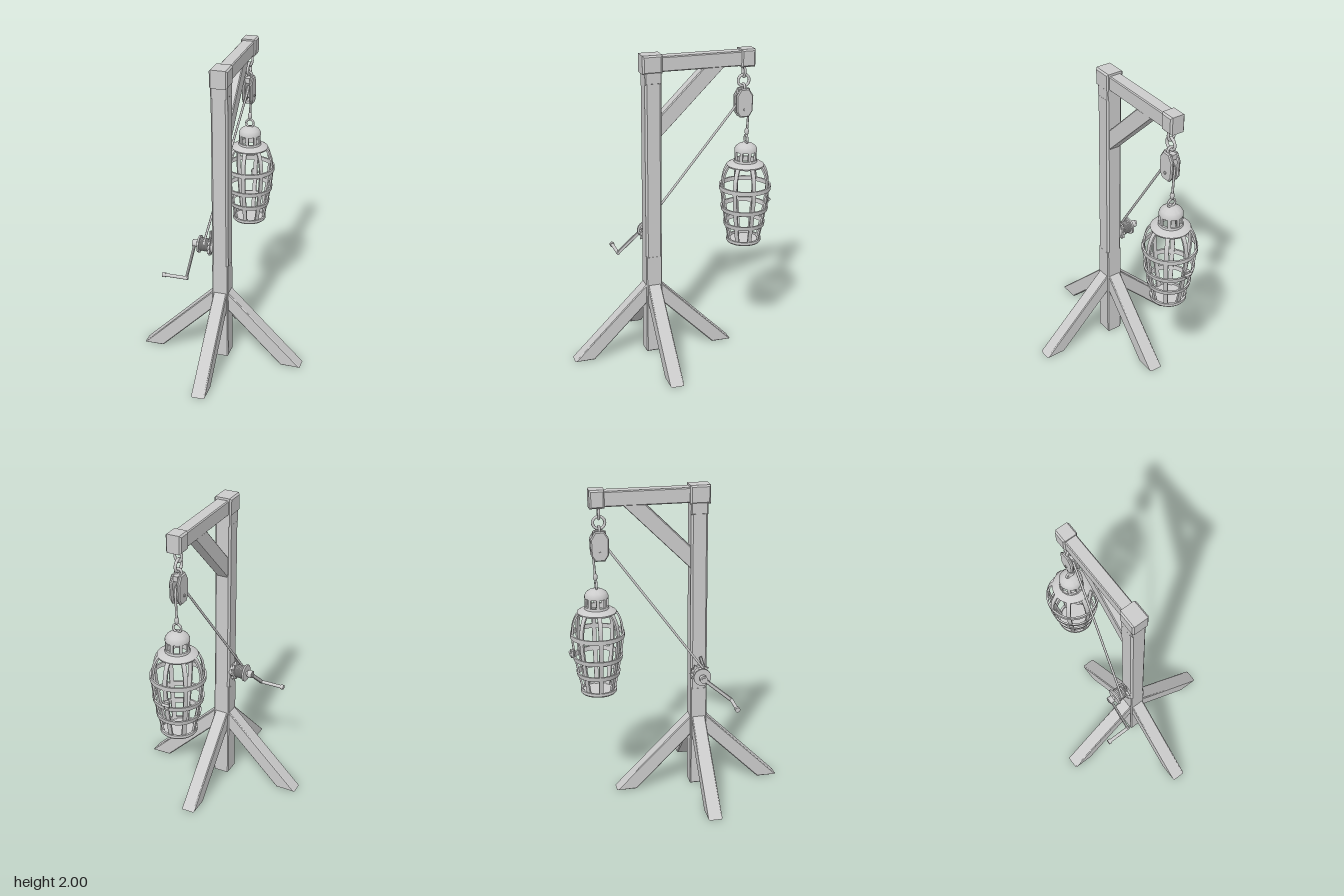
import * as THREE from 'three';
import { toCreasedNormals } from 'three/addons/utils/BufferGeometryUtils.js';

const V = (x, y, z = 0) => new THREE.Vector3(x, y, z);
const material = new THREE.MeshStandardMaterial({ color: 0xcccccc });

function add(parent, name, geometry, x = 0, y = 0, z = 0) {
  const mesh = new THREE.Mesh(geometry, material);
  mesh.name = name;
  mesh.position.set(x, y, z);
  parent.add(mesh);
  return mesh;
}

// Side outline [x, y] given a width in z, with small chamfers, centred on z = 0
function slab(points, width, bevel = 0.006) {
  const shape = new THREE.Shape(points.map(p => new THREE.Vector2(p[0], p[1])));
  const geo = new THREE.ExtrudeGeometry(shape, {
    depth: width - 2 * bevel, bevelEnabled: bevel > 0, bevelSize: bevel,
    bevelThickness: bevel, bevelOffset: -bevel, bevelSegments: 1,
  });
  return geo.translate(0, 0, -width / 2 + bevel);
}

const rect = (x0, y0, x1, y1) => [[x0, y0], [x1, y0], [x1, y1], [x0, y1]];

// Turned part, keeping sharp corners
function turned(points, segments = 40) {
  const geo = new THREE.LatheGeometry(points.map(p => new THREE.Vector2(p[0], p[1])), segments);
  return toCreasedNormals(geo, 0.6);
}

// Round rod between two points
function rod(parent, name, a, b, r, segments = 10) {
  const mesh = add(parent, name, new THREE.CylinderGeometry(r, r, a.distanceTo(b), segments));
  mesh.position.copy(a).lerp(b, 0.5);
  mesh.quaternion.setFromUnitVectors(V(0, 1, 0), b.clone().sub(a).normalize());
  return mesh;
}

// Wooden post, arm, brace and four feet
function buildFrame(frame) {
  const h = 0.053, c = 0.012;
  const chamfered = [[-h + c, -h], [h - c, -h], [h, -h + c], [h, h - c],
    [h - c, h], [-h + c, h], [-h, h - c], [-h, -h + c]];
  add(frame, 'postShaft', slab(chamfered, 1.14, 0).rotateX(-Math.PI / 2), 0, 1.255, 0);
  add(frame, 'postBase', slab(rect(-h, 0.005, h, 0.69), 2 * h));
  add(frame, 'postHead', slab(rect(-h, 1.82, h, 1.99), 2 * h));

  add(frame, 'arm', slab(rect(-0.06, 1.892, 0.655, 1.986), 0.08));
  add(frame, 'armEndCap', slab(rect(0.575, 1.884, 0.667, 1.996), 0.098, 0.01));
  add(frame, 'armButtCap', slab(rect(-0.068, 1.886, 0.058, 2), 0.114, 0.01));
  add(frame, 'brace', slab([[0.045, 1.475], [0.47, 1.9], [0.33, 1.9], [0.045, 1.615]], 0.075));

  const foot = slab([[0.04, 0.37], [0.41, 0], [0.54, 0], [0.05, 0.49], [0.04, 0.49]], 0.088);
  for (let i = 0; i < 4; i++) add(frame, 'foot', foot).rotation.y = i * Math.PI / 2;
}

// Drum, ratchet wheel and crank on the back of the post
function buildWinch(frame) {
  const winch = new THREE.Group();
  winch.name = 'winch';
  winch.position.set(0, 0.8, 0);
  frame.add(winch);

  const disc = (name, r, z0, z1) => rod(winch, name, V(0, 0, z0), V(0, 0, z1), r, 24);
  disc('bearing', 0.045, -0.045, -0.066);
  disc('drum', 0.036, -0.06, -0.15);
  disc('flange', 0.056, -0.143, -0.155);
  disc('axle', 0.014, -0.15, -0.2);
  disc('hub', 0.024, -0.166, -0.196);

  const teeth = [];
  for (let i = 0; i < 12; i++) {
    const a = i * Math.PI / 6;
    teeth.push([0.066 * Math.cos(a), 0.066 * Math.sin(a)]);
    teeth.push([0.05 * Math.cos(a + 0.08), 0.05 * Math.sin(a + 0.08)]);
  }
  add(winch, 'ratchetWheel', slab(teeth, 0.014, 0), 0, 0, -0.076);
  add(winch, 'pawl', slab(rect(-0.009, 0, 0.009, 0.055), 0.014, 0.003), -0.02, 0.055, -0.072)
    .rotation.z = -0.3;

  // Rope wound on the drum
  for (let i = 0; i < 6; i++)
    add(winch, 'ropeTurn', new THREE.TorusGeometry(0.038, 0.006, 6, 24), 0, 0, -0.09 - i * 0.0095);

  const end = V(-0.182, -0.158, -0.182);
  const crank = add(winch, 'crankArm', slab(rect(0, -0.012, Math.hypot(end.x, end.y), 0.012), 0.014, 0.003), 0, 0, -0.182);
  crank.rotation.z = Math.atan2(end.y, end.x);
  rod(winch, 'crankHandle', end.clone().setZ(-0.17), end.clone().setZ(-0.325), 0.011, 14);
  rod(winch, 'handleKnob', end.clone().setZ(-0.322), end.clone().setZ(-0.342), 0.016, 14);
}

// Staple, ring, pulley block and rope
function buildTackle(frame) {
  const x = 0.608;
  const staple = add(frame, 'staple', new THREE.TorusGeometry(0.022, 0.008, 8, 20), x, 1.85, 0);
  staple.rotation.y = Math.PI / 2;
  staple.scale.y = 1.5;
  add(frame, 'ring', new THREE.TorusGeometry(0.037, 0.009, 10, 28), x, 1.792, 0);
  const eye = add(frame, 'blockEye', new THREE.TorusGeometry(0.02, 0.008, 8, 20), x, 1.75, 0);
  eye.rotation.y = Math.PI / 2;

  const block = new THREE.Group();
  block.name = 'pulleyBlock';
  block.position.set(x, 1.65, 0);
  frame.add(block);
  const cheek = [[-0.03, -0.092], [0.03, -0.092], [0.054, -0.055], [0.057, 0.045],
    [0.028, 0.092], [-0.028, 0.092], [-0.057, 0.045], [-0.054, -0.055]];
  for (const s of [-1, 1]) add(block, 'cheek', slab(cheek, 0.022, 0.007), 0, 0, s * 0.023);
  add(block, 'blockTop', slab(rect(-0.04, 0.055, 0.04, 0.088), 0.03, 0));
  add(block, 'blockFoot', slab(rect(-0.027, -0.088, 0.027, -0.07), 0.03, 0));
  const groove = [[0, -0.011], [0.044, -0.011], [0.036, 0], [0.044, 0.011], [0, 0.011]];
  add(block, 'sheave', turned(groove, 28).rotateX(Math.PI / 2), 0, -0.02, 0);
  rod(block, 'sheavePin', V(0, -0.04, -0.04), V(0, -0.04, 0.04), 0.009);

  // Hauling rope over the sheave and down to the cage
  const path = new THREE.CurvePath();
  const arc = new THREE.CatmullRomCurve3([V(0.57, 1.645), V(0.583, 1.662), V(0.608, 1.672),
    V(0.637, 1.66), V(0.648, 1.63), V(0.645, 1.56), V(0.638, 1.435)]);
  path.add(new THREE.LineCurve3(V(-0.035, 0.815, -0.115), V(0.57, 1.645)));
  path.add(arc);
  add(frame, 'rope', new THREE.TubeGeometry(path, 120, 0.0075, 7));
  add(frame, 'ropeKnot', new THREE.SphereGeometry(0.014, 12, 8), 0.638, 1.455, 0).scale.y = 1.8;
}

// Hanging barrel-shaped cage
function buildCage(frame) {
  const cage = new THREE.Group();
  cage.name = 'cage';
  cage.position.set(0.635, 0, 0);
  frame.add(cage);

  add(cage, 'cageRing', new THREE.TorusGeometry(0.026, 0.007, 8, 24), 0, 1.404, 0).rotation.y = Math.PI / 2;
  add(cage, 'crown', turned([[0.06, 1.325], [0.074, 1.325], [0.073, 1.342], [0.062, 1.36],
    [0.042, 1.374], [0.02, 1.381], [0, 1.383], [0, 1.37], [0.04, 1.36], [0.06, 1.335], [0.06, 1.325]]));
  add(cage, 'shoulder', turned([[0.058, 1.238], [0.118, 1.225], [0.122, 1.236], [0.1, 1.25],
    [0.076, 1.256], [0.074, 1.27], [0.06, 1.27], [0.058, 1.238]]));
  add(cage, 'floor', turned([[0, 0.685], [0.06, 0.69], [0.108, 0.702], [0.114, 0.71],
    [0.114, 0.728], [0.1, 0.728], [0.1, 0.715], [0, 0.715]]));

  // Curved staves
  const curve = new THREE.SplineCurve([[0.104, 0.71], [0.128, 0.83], [0.148, 0.94], [0.161, 1.04],
    [0.163, 1.1], [0.153, 1.17], [0.13, 1.222], [0.104, 1.244]].map(p => new THREE.Vector2(...p)));
  const outer = curve.getPoints(28);
  const inner = outer.map((p, i) => {
    const t = curve.getTangent(i / 28);
    return new THREE.Vector2(p.x - t.y * 0.012, p.y + t.x * 0.012);
  }).reverse();
  const stave = slab([...outer, ...inner].map(p => [p.x, p.y]), 0.026, 0);
  const crownBar = slab(rect(0.061, 1.255, 0.072, 1.335), 0.02, 0);
  for (let i = 0; i < 8; i++) {
    add(cage, 'stave', stave).rotation.y = i * Math.PI / 4;
    add(cage, 'crownBar', crownBar).rotation.y = i * Math.PI / 4;
  }

  // Hoops: height, lower radius, upper radius
  for (const [y, r0, r1] of [[1.085, 0.169, 0.17], [0.94, 0.152, 0.157], [0.832, 0.132, 0.138]])
    add(cage, 'hoop', turned([[r0, y - 0.014], [r1, y + 0.014], [r1 - 0.012, y + 0.014],
      [r0 - 0.012, y - 0.014], [r0, y - 0.014]], 48));

  // Door latch
  add(cage, 'latch', slab(rect(0.15, 0.95, 0.172, 1.0), 0.034, 0.005), 0, 0, -0.012);
  rod(cage, 'latchPin', V(0.172, 0.975, -0.035), V(0.172, 0.975, 0.015), 0.009);
}

export function createModel() {
  const model = new THREE.Group();
  model.name = 'gibbetWithCage';
  const frame = new THREE.Group();
  frame.name = 'frame';
  frame.position.set(-0.125, 0, 0);
  frame.rotation.y = THREE.MathUtils.degToRad(25);
  model.add(frame);
  buildFrame(frame);
  buildWinch(frame);
  buildTackle(frame);
  buildCage(frame);
  return model;
}
